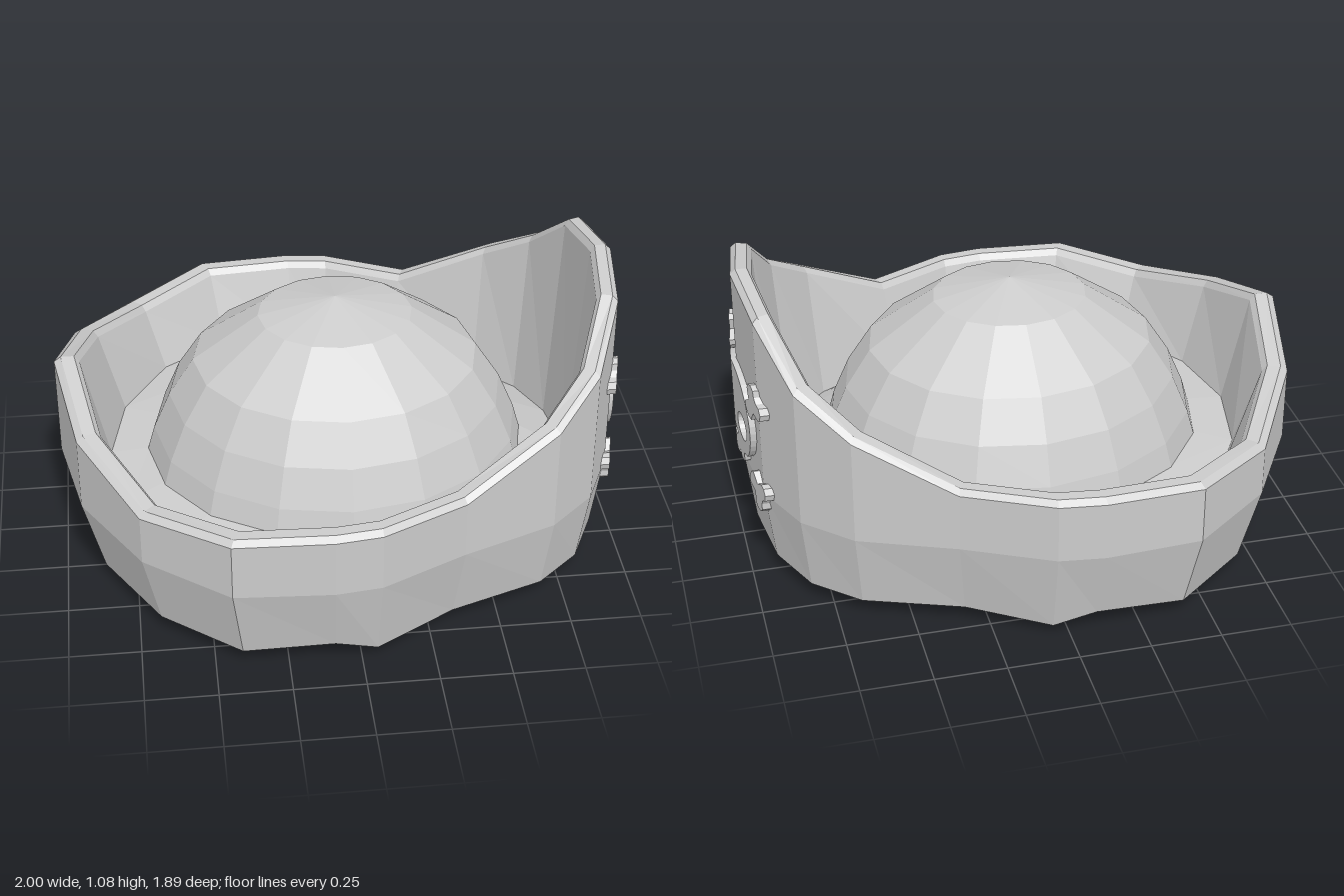
import * as THREE from 'three';

const flat = new THREE.MeshStandardMaterial({ color: 0xcccccc, flatShading: true, side: THREE.DoubleSide });

// Half of the brim outline: x, z, height of the rim, height of the lower edge
const half = [
  [-1, 0, 0.725, 0.065], [-0.93, 0.36, 0.62, 0.065], [-0.73, 0.70, 0.53, 0.065],
  [-0.44, 0.925, 0.555, 0.06], [-0.10, 0.945, 0.56, 0.08], [0.06, 0.925, 0.56, 0.035],
  [0.36, 0.78, 0.56, 0.065], [0.69, 0.65, 0.73, 0.065], [0.85, 0.50, 0.85, 0.065],
  [0.945, 0.29, 1.02, 0.07], [0.98, 0, 1.06, 0.07],
];
const outline = [...half, ...half.slice(1, -1).reverse().map(([x, z, t, l]) => [x, -z, t, l])];

// A ring that follows the outline, scaled; y is a rule of the outline point
const ring = (s, y, frontScale = s) => outline.map(p =>
  new THREE.Vector3(p[0] * (p[0] > 0.5 ? frontScale : s), y(p), p[1] * s));

// An elliptical ring at the same bearings
const ellipse = (r, y) => outline.map(([x, z]) => {
  const a = Math.atan2(z, x);
  return new THREE.Vector3(r * Math.cos(a), y, 0.9 * r * Math.sin(a));
});

// Joins consecutive closed rings with faces
function loft(rings) {
  const pos = [];
  const tri = (...v) => {
    if (v[0].distanceTo(v[1]) && v[1].distanceTo(v[2]) && v[2].distanceTo(v[0]))
      v.forEach(p => pos.push(p.x, p.y, p.z));
  };
  for (let k = 0; k < rings.length - 1; k++) {
    const n = rings[k].length;
    for (let j = 0; j < n; j++) {
      const i = (j + 1) % n;
      tri(rings[k][j], rings[k + 1][j], rings[k + 1][i]);
      tri(rings[k][j], rings[k + 1][i], rings[k][i]);
    }
  }
  const g = new THREE.BufferGeometry();
  g.setAttribute('position', new THREE.Float32BufferAttribute(pos, 3));
  g.computeVertexNormals();
  return g;
}

function mesh(name, geometry) {
  const m = new THREE.Mesh(geometry, flat);
  m.name = name;
  return m;
}

// Raised flat plate on the tall panel; its face leans back by slope per unit of |z|
function plate(name, shape, face, slope) {
  const g = new THREE.ExtrudeGeometry(shape, { depth: 0.035, bevelEnabled: false });
  g.rotateY(Math.PI / 2);
  const p = g.attributes.position;
  for (let i = 0; i < p.count; i++) p.setX(i, p.getX(i) - 0.035 + face - slope * Math.abs(p.getZ(i)));
  g.computeVertexNormals();
  return mesh(name, g);
}

const shapeOf = pts => new THREE.Shape(pts.map(([x, y]) => new THREE.Vector2(x, y)));

// One half of the skull, so that the two halves can meet at a slight angle
function skullHalf(side) {
  const pts = [];
  // Cranium arc from the crown down to the cheek
  for (let i = 0; i <= 14; i++) {
    const a = Math.PI / 2 - (Math.PI / 2 + 0.6) * i / 14;
    pts.push([0.235 * Math.cos(a), 0.555 + 0.18 * Math.sin(a)]);
  }
  pts.push([0.165, 0.428], [0.122, 0.418]);
  // Two teeth
  for (const x of [0.062, 0.004])
    pts.push([x + 0.054, 0.386], [x + 0.044, 0.375], [x + 0.012, 0.375], [x, 0.386], [x - 0.004, 0.397]);
  // Nose notch on the middle line
  pts.push([0, 0.4], [0, 0.452], [0.015, 0.44], [0.03, 0.443], [0.032, 0.455], [0, 0.478]);
  const s = shapeOf(pts.map(([x, y]) => [side * x, y]));
  s.holes.push(new THREE.Path().absellipse(side * 0.115, 0.523, 0.063, 0.049, 0, Math.PI * 2, true));
  return s;
}

// Knobbed bone end, pointing outward along the given angle
function boneShape(cx, cy, angle) {
  const side = [[-0.078, 0.018], [-0.065, 0.036], [-0.02, 0.026], [-0.008, 0.045], [0.003, 0.062],
    [0.024, 0.068], [0.046, 0.056], [0.053, 0.032], [0.04, 0.012]];
  const pts = [...side, ...side.map(([x, y]) => [x, -y]).reverse()];
  const c = Math.cos(angle), s = Math.sin(angle);
  return shapeOf(pts.map(([x, y]) => [cx + x * c - y * s, cy + x * s + y * c]));
}

export function createModel() {
  const hat = new THREE.Group();
  hat.name = 'hat';

  // Brim: sloping trough floor, inner wall, bevelled rim, outer wall, underside and hollow inside
  hat.add(mesh('brim', loft([
    ellipse(0.68, 0.33),
    ring(0.82, p => 0.27 - 0.05 * p[0], 0.88),
    ring(0.91, p => p[2] - 0.005, 0.925),
    ring(0.928, p => p[2] + 0.018, 0.94),
    ring(0.975, p => p[2] + 0.018, 0.98),
    ring(1, p => p[2]),
    ring(1, () => 0.35),
    ring(0.925, p => p[3], 0.965),
    ring(0.87, p => p[3] - 0.035, 0.915),
    ellipse(0.765, 0.08),
    ellipse(0.52, 0.65), ellipse(0.27, 0.83), ellipse(0, 0.89),
  ])));

  // Crown: faceted dome, slightly narrower front to back
  const profile = [[0.7, 0.28], [0.66, 0.42], [0.6, 0.56], [0.51, 0.7], [0.275, 0.868], [0, 0.93]]
    .map(([r, y]) => new THREE.Vector2(r, y));
  const dome = new THREE.LatheGeometry(profile, 16);
  dome.scale(1, 1, 0.9);
  hat.add(mesh('crown', dome));

  // Emblem on the tall panel
  const emblem = new THREE.Group();
  emblem.name = 'emblem';
  for (const side of [-1, 1]) {
    emblem.add(plate('skullHalf', skullHalf(side), 1, 0.11));
    emblem.add(plate('upperBoneEnd', boneShape(side * 0.285, 0.708, Math.atan2(1, side)), 1.03, 0.23));
    emblem.add(plate('lowerBoneEnd', boneShape(side * 0.285, 0.353, Math.atan2(-0.6, side)), 1.03, 0.23));
  }
  hat.add(emblem);

  return hat;
}
